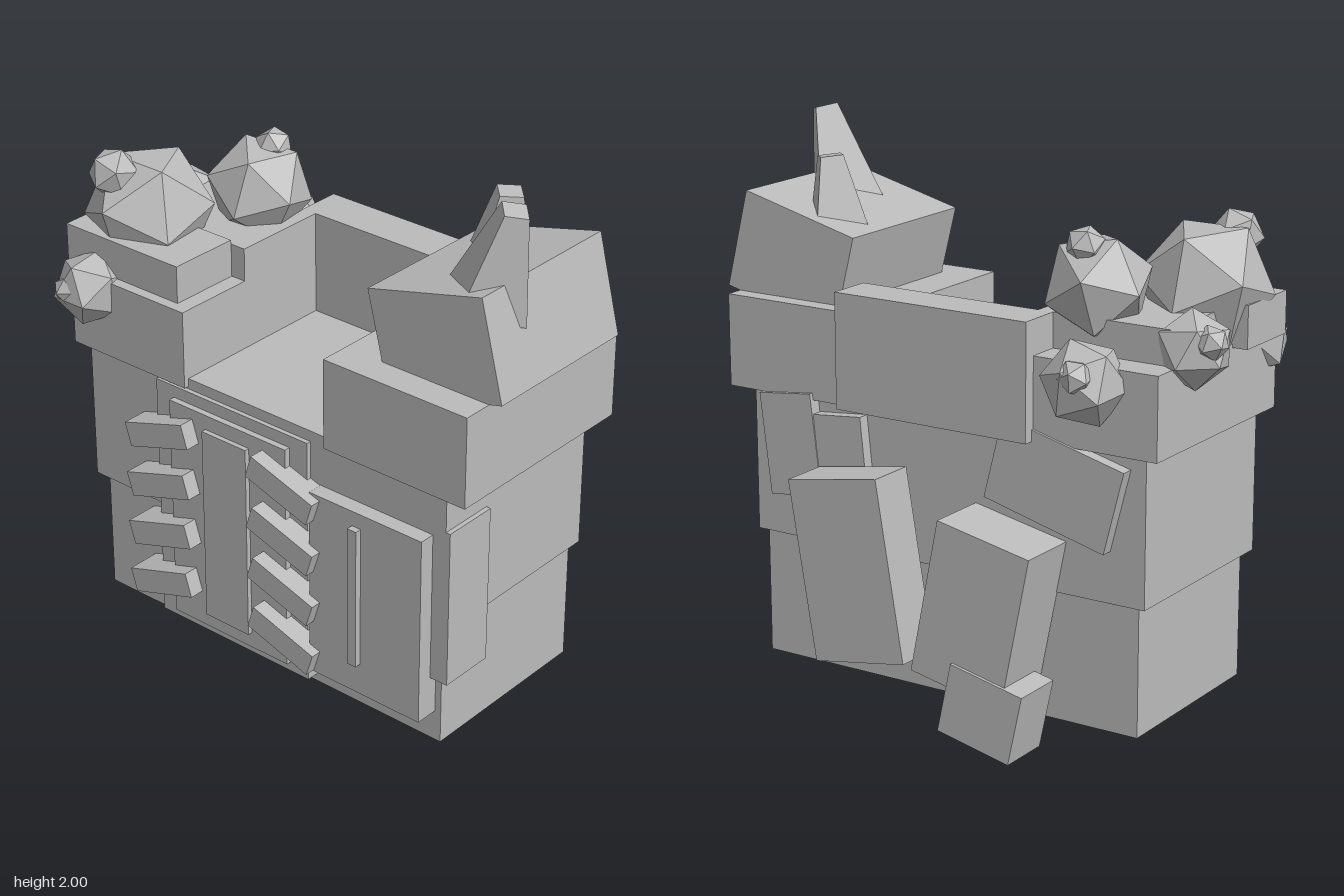
import * as THREE from 'three';

export function createModel() {
  const model = new THREE.Group();
  const stone = new THREE.MeshStandardMaterial({ color: 0xbbbbbb });
  stone.name = 'plainGrey';
  stone.flatShading = true;

  const add = (name, geometry, x, y, z, rotZ = 0) => {
    const mesh = new THREE.Mesh(geometry, stone);
    mesh.name = name;
    mesh.position.set(x, y, z);
    mesh.rotation.z = rotZ;
    model.add(mesh);
    return mesh;
  };
  // Upright box given by its limits on each axis
  const block = (name, x0, x1, y0, y1, z0, z1) =>
    add(name, new THREE.BoxGeometry(x1 - x0, y1 - y0, z1 - z0), (x0 + x1) / 2, (y0 + y1) / 2, (z0 + z1) / 2);
  // Box turned about z, given by centre, size and depth limits
  const tilted = (name, x, y, w, h, z0, z1, rot) =>
    add(name, new THREE.BoxGeometry(w, h, z1 - z0), x, y, (z0 + z1) / 2, rot);

  // Main body
  block('lowerBody', -0.725, 0.8, 0.085, 0.545, -0.295, 0.4);
  block('upperBody', -0.757, 0.828, 0.545, 1.095, -0.315, 0.43);
  block('rightShoulder', -0.815, -0.29, 1.065, 1.353, -0.35, 0.45);
  block('leftShoulder', 0.33, 0.915, 1.065, 1.395, -0.345, 0.45);
  block('backWall', -0.348, 0.418, 1.065, 1.475, -0.395, -0.23);
  block('frontLedge', -0.87, -0.35, 1.34, 1.49, 0.14, 0.41);
  block('rearLedge', -0.79, -0.29, 1.34, 1.475, -0.23, 0.14);

  // Layered front panel with slanted ribs
  block('outerPanel', -0.426, 0.257, 0.115, 1.055, 0.38, 0.447);
  block('middlePanel', -0.345, 0.18, 0.155, 1.01, 0.38, 0.47);
  block('centrePanel', -0.18, 0.018, 0.215, 0.955, 0.38, 0.488);
  for (let i = 0; i < 4; i++) {
    const y = 0.29 + i * 0.199;
    for (const side of [-1, 1]) {
      tilted('rib', -0.081 + side * 0.279, y, 0.28, 0.09, 0.4, 0.527, -side * 0.31);
    }
  }

  // Side door, its handle and the side plate
  block('door', 0.3, 0.775, 0.2, 0.905, 0.38, 0.488);
  block('doorHandle', 0.485, 0.522, 0.32, 0.85, 0.48, 0.512);
  block('sidePlate', 0.7, 0.845, 0.35, 0.935, 0.22, 0.43);

  // Slanted slabs on the back
  tilted('leftBackSlab', 0.28, 0.55, 0.37, 0.645, -0.545, -0.365, -0.165);
  tilted('rightBackSlab', -0.222, 0.49, 0.365, 0.56, -0.545, -0.31, 0.2);
  tilted('lowBackBlock', -0.27, 0.157, 0.288, 0.255, -0.557, -0.36, 0.213);
  tilted('upperBackPlate', 0.645, 0.895, 0.22, 0.365, -0.36, -0.27, -0.12);
  tilted('longBackPlate', 0.41, 0.66, 0.2, 0.74, -0.357, -0.27, -0.1);
  tilted('slantedBackPlate', -0.43, 0.93, 0.48, 0.3, -0.36, -0.27, 0.25);

  // Tilted head block with two four-sided horns
  tilted('headBlock', 0.693, 1.523, 0.469, 0.358, -0.28, 0.34, 0.25);
  add('largeHorn', new THREE.CylinderGeometry(0.056, 0.16, 0.357, 4), 0.822, 1.816, 0.175, -0.27);
  add('smallHorn', new THREE.CylinderGeometry(0.056, 0.142, 0.3, 4), 0.611, 1.729, -0.12, -0.125);

  // Faceted boulders, each with a small nub: x, y, z, radius
  const boulders = [
    [[-0.68, 1.53, 0.195, 0.235], [-0.735, 1.685, 0.305, 0.092]],
    [[-0.46, 1.56, -0.13, 0.19], [-0.445, 1.7, -0.19, 0.07]],
    [[-0.83, 1.4, -0.15, 0.135], [-0.915, 1.44, -0.19, 0.06]],
    [[-0.56, 1.3, -0.375, 0.15], [-0.58, 1.34, -0.465, 0.062]],
    [[-0.735, 1.3, 0.435, 0.135], [-0.77, 1.305, 0.51, 0.055]],
  ];
  boulders.forEach((pair, i) => pair.forEach(([x, y, z, r], j) => {
    const rock = add(j ? 'boulderNub' : 'boulder', new THREE.IcosahedronGeometry(r, 0), x, y, z);
    rock.rotation.set(0.3 + i * 0.5, 0.4 * i + j, 0.25 * i);
  }));

  return model;
}
